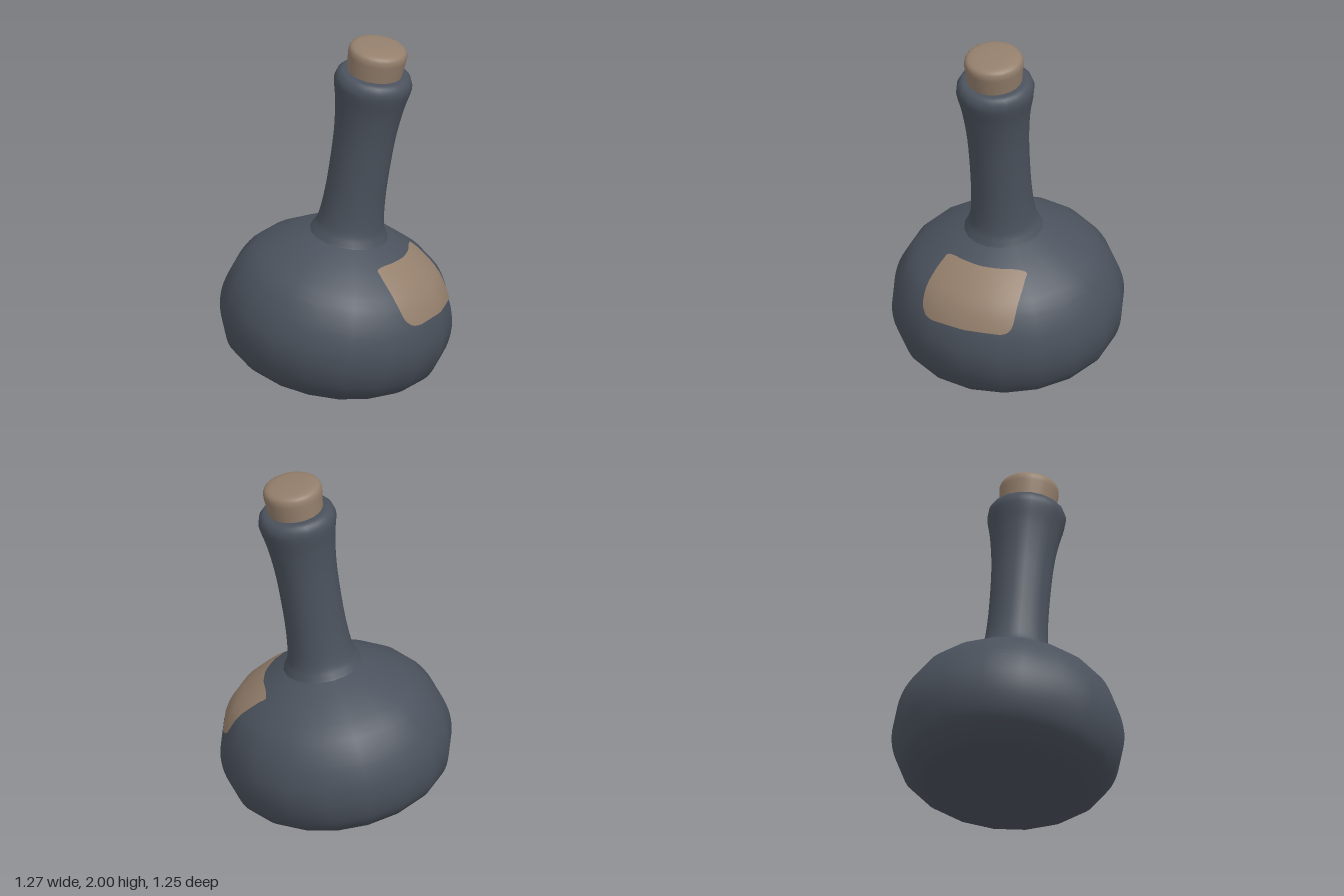
import * as THREE from 'three';

const glass = new THREE.MeshStandardMaterial({ color: 0x4b525d });
glass.name = 'dark slate glass';
const tan = new THREE.MeshStandardMaterial({ color: 0x947f6c });
tan.name = 'cork tan';

// The whole bottle leans forward and slightly to its left
const base = new THREE.Vector3(-0.015, 0.068, -0.048);
const axis = new THREE.Vector3(0.0435, 0.988, 0.144).normalize();
const lean = new THREE.Matrix4().compose(
  base,
  new THREE.Quaternion().setFromUnitVectors(new THREE.Vector3(0, 1, 0), axis),
  new THREE.Vector3(1, 1, 1)
);

const toPoints = (list) => list.map(([a, b]) => new THREE.Vector2(a, b));

// Turned part from a smoothed [radius, height] profile
function turned(name, profile, steps, sides, material) {
  const points = new THREE.SplineCurve(toPoints(profile)).getPoints(steps);
  points.forEach((p) => { p.x = Math.max(p.x, 0); });
  const geometry = new THREE.LatheGeometry(points, sides, THREE.MathUtils.degToRad(-8.2));
  geometry.applyMatrix4(lean);
  const mesh = new THREE.Mesh(geometry, material);
  mesh.name = name;
  return mesh;
}

// Rounded patch projected from the front onto the belly
function makeLabel(belly) {
  const outline = new THREE.SplineCurve(toPoints([
    [-0.165, 0.55], [-0.145, 0.51], [-0.09, 0.483], [0.1, 0.48], [0.29, 0.476], [0.345, 0.482],
    [0.364, 0.52], [0.357, 0.61], [0.333, 0.71], [0.29, 0.755], [0.1, 0.762], [-0.11, 0.768],
    [-0.148, 0.735], [-0.17, 0.63], [-0.165, 0.55],
  ])).getPoints(70);
  const rings = 14;
  const row = outline.length;
  const positions = [], normals = [], index = [];
  const ray = new THREE.Raycaster();
  const back = new THREE.Vector3(0, 0, -1);
  belly.updateMatrixWorld(true);
  for (let i = 0; i <= rings; i++) {
    for (let j = 0; j < row; j++) {
      const s = i / rings;
      const x = 0.1 + (outline[j].x - 0.1) * s;
      const y = 0.62 + (outline[j].y - 0.62) * s;
      ray.set(new THREE.Vector3(x, y, 3), back);
      const hit = ray.intersectObject(belly)[0];
      const n = hit.normal.clone().normalize();
      const p = hit.point.clone().addScaledVector(n, 0.005);
      positions.push(p.x, p.y, p.z);
      normals.push(n.x, n.y, n.z);
      if (i < rings && j < row - 1) {
        const a = i * row + j, b = a + row;
        index.push(a, b, b + 1);
        if (i > 0) index.push(a, b + 1, a + 1);
      }
    }
  }
  const geometry = new THREE.BufferGeometry();
  geometry.setAttribute('position', new THREE.Float32BufferAttribute(positions, 3));
  geometry.setAttribute('normal', new THREE.Float32BufferAttribute(normals, 3));
  geometry.setIndex(index);
  const mesh = new THREE.Mesh(geometry, tan);
  mesh.name = 'label';
  return mesh;
}

export function createModel() {
  const group = new THREE.Group();
  group.name = 'corkedBottle';

  // Squat round belly with a soft flat base
  const belly = turned('belly', [
    [0, 0], [0.22, 0], [0.38, 0.001], [0.45, 0.011], [0.54, 0.07], [0.59, 0.13], [0.624, 0.224],
    [0.634, 0.32], [0.622, 0.41], [0.585, 0.515], [0.508, 0.63], [0.36, 0.735], [0.215, 0.806], [0.15, 0.83],
  ], 40, 18, glass);

  // Neck flaring into a rolled lip
  const neck = turned('neck', [
    [0.222, 0.795], [0.205, 0.825], [0.184, 0.875], [0.17, 0.98], [0.164, 1.15], [0.169, 1.4],
    [0.188, 1.58], [0.21, 1.69], [0.214, 1.735], [0.203, 1.768], [0.18, 1.788], [0.14, 1.79],
  ], 44, 18, glass);

  // Stopper, a little wider at its rounded top
  const cork = turned('cork', [
    [0.148, 1.765], [0.153, 1.81], [0.16, 1.87], [0.162, 1.905], [0.152, 1.932], [0.12, 1.947], [0.06, 1.953], [0, 1.954],
  ], 28, 24, tan);

  group.add(belly, neck, cork, makeLabel(belly));
  return group;
}
